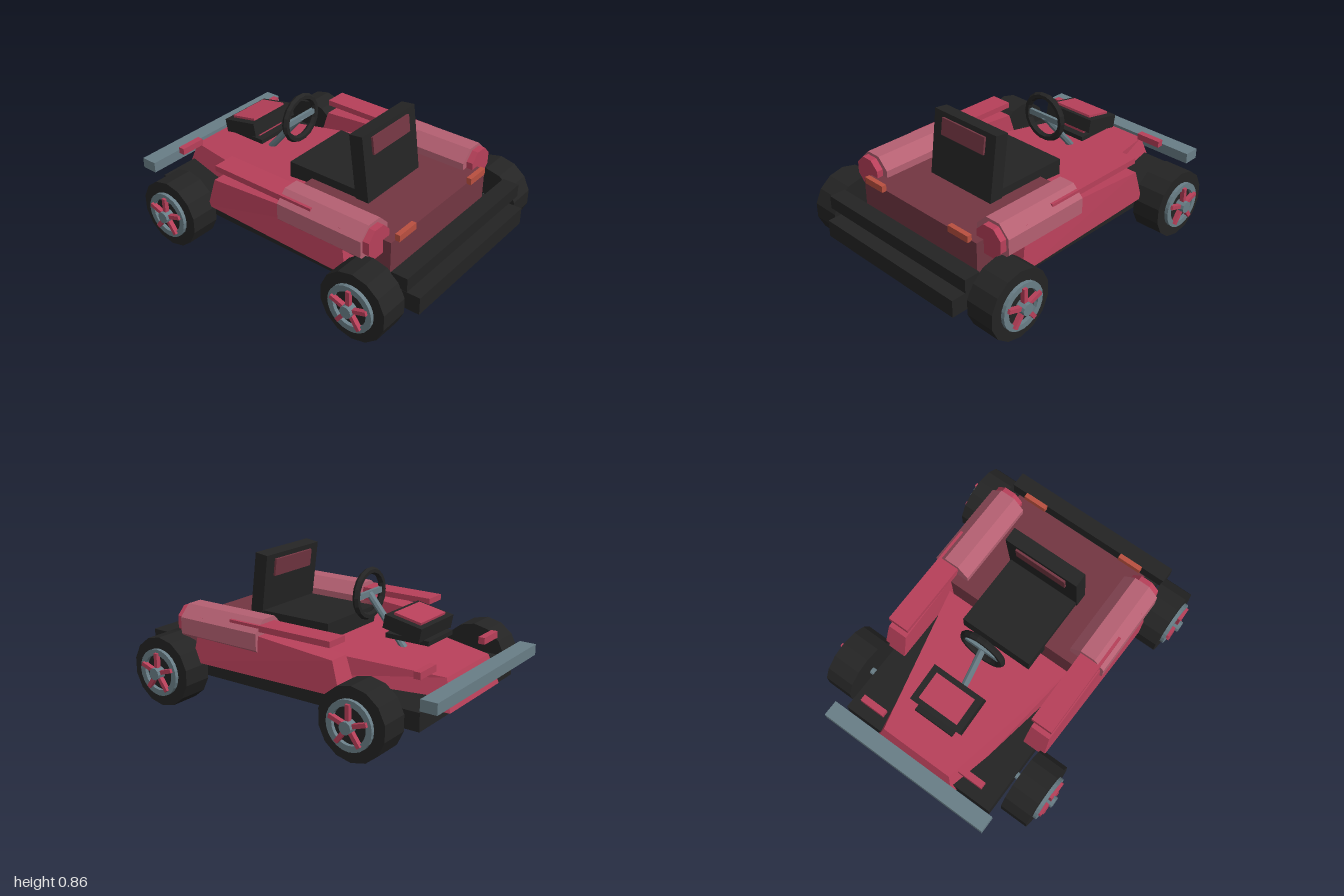
import * as THREE from 'three';

export function createModel() {
  const group = new THREE.Group();
  const mat = (name, color) => {
    const m = new THREE.MeshStandardMaterial({ color, flatShading: true });
    m.name = name;
    return m;
  };
  const red = mat('red', 0xb8405a);
  const maroon = mat('maroon', 0x733642);
  const pink = mat('dusty pink', 0xb56072);
  const orange = mat('orange', 0xba5040);
  const grey = mat('blue grey', 0x697e87);
  const black = mat('black', 0x242424);

  const add = (name, geometry, material, parent = group) => {
    const mesh = new THREE.Mesh(geometry, material);
    mesh.name = name;
    parent.add(mesh);
    return mesh;
  };
  // box given by its ranges on each axis
  const box = (name, m, x0, x1, y0, y1, z0, z1, parent) => {
    const mesh = add(name, new THREE.BoxGeometry(x1 - x0, y1 - y0, z1 - z0), m, parent);
    mesh.position.set((x0 + x1) / 2, (y0 + y1) / 2, (z0 + z1) / 2);
    return mesh;
  };
  // tapered block: each end is [xMin, xMax, y, z] for its bottom and top edge
  const taperedBlock = (rear, front) => {
    const g = new THREE.BoxGeometry(1, 1, 1);
    const p = g.attributes.position;
    for (let i = 0; i < p.count; i++) {
      const end = p.getZ(i) > 0 ? front : rear;
      const edge = p.getY(i) > 0 ? end.top : end.bottom;
      p.setXYZ(i, p.getX(i) > 0 ? edge[1] : edge[0], edge[2], edge[3]);
    }
    g.computeVertexNormals();
    return g;
  };

  // floor and bars
  box('chassis', black, -0.52, 0.52, 0.16, 0.265, -0.875, 1);
  box('bumperBar', black, -0.56, 0.56, 0.305, 0.385, 0.845, 0.945);
  box('endBar', grey, -0.565, 0.565, 0.295, 0.36, -1, -0.9);

  // bodywork
  add('hood', taperedBlock(
    { bottom: [-0.28, 0.28, 0.19, -0.915], top: [-0.235, 0.235, 0.365, -0.865] },
    { bottom: [-0.44, 0.44, 0.26, 0.02], top: [-0.43, 0.43, 0.43, 0.02] }), red);
  box('deck', maroon, -0.46, 0.46, 0.28, 0.47, 0.06, 0.77);

  for (const s of [-1, 1]) {
    const span = (a, b) => (s > 0 ? [a, b] : [-b, -a]);
    // side pod with rail and tank
    add('sidePod', taperedBlock(
      { bottom: [...span(0.44, 0.585), 0.265, -0.43], top: [...span(0.45, 0.575), 0.455, -0.375] },
      { bottom: [...span(0.44, 0.61), 0.265, 0.59], top: [...span(0.45, 0.585), 0.53, 0.54] }), red);
    box('sideRail', red, ...span(0.44, 0.575), 0.52, 0.555, -0.36, 0.33);
    const tank = add('sideTank', new THREE.CylinderGeometry(0.125, 0.125, 0.56, 8), pink);
    tank.rotation.set(Math.PI / 2, Math.PI / 8, 0);
    tank.position.set(s * 0.485, 0.465, 0.4);
    const cap = add('tankCap', new THREE.CylinderGeometry(0.095, 0.095, 0.04, 8), red);
    cap.rotation.set(Math.PI / 2, Math.PI / 8, 0);
    cap.position.set(s * 0.495, 0.475, 0.7);
    // lights and markers
    box('light', orange, ...span(0.27, 0.42), 0.465, 0.505, 0.765, 0.795);
    box('marker', red, ...span(0.27, 0.43), 0.4, 0.44, -0.82, -0.78);
  }

  // seat
  box('seatCushion', black, -0.235, 0.235, 0.4, 0.52, -0.1, 0.4);
  const back = new THREE.Group();
  back.name = 'seatBack';
  back.position.set(0, 0.66, 0.394);
  back.rotation.x = -0.13;
  group.add(back);
  box('backrest', black, -0.242, 0.242, -0.2, 0.2, -0.043, 0.043, back);
  box('headPad', maroon, -0.168, 0.168, 0.067, 0.17, -0.056, 0.056, back);

  // steering
  const wheelRing = add('steeringWheel', new THREE.TorusGeometry(0.132, 0.021, 6, 18), black);
  wheelRing.position.set(0, 0.665, -0.22);
  box('steeringSpoke', grey, -0.125, 0.125, 0.648, 0.682, -0.23, -0.21);
  const top = new THREE.Vector3(0, 0.665, -0.22);
  const foot = new THREE.Vector3(0, 0.385, -0.46);
  const column = add('steeringColumn',
    new THREE.CylinderGeometry(0.021, 0.021, top.distanceTo(foot), 8), grey);
  column.position.copy(top).add(foot).multiplyScalar(0.5);
  column.quaternion.setFromUnitVectors(new THREE.Vector3(0, 1, 0), top.clone().sub(foot).normalize());

  // console
  box('consoleBase', black, -0.13, 0.13, 0.473, 0.5, -0.69, -0.415);
  box('consoleRiser', red, -0.1, 0.1, 0.5, 0.515, -0.61, -0.46);
  const box3 = new THREE.Group();
  box3.name = 'console';
  box3.position.set(0, 0.558, -0.546);
  box3.rotation.x = -0.19;
  group.add(box3);
  box('consoleBody', black, -0.173, 0.173, -0.04, 0.04, -0.118, 0.118, box3);
  box('consoleLid', red, -0.132, 0.132, 0.04, 0.054, -0.086, 0.086, box3);

  // wheels, built along +x and turned for the other side
  const disc = (name, r, x0, x1, sides, m, parent) => {
    const mesh = add(name, new THREE.CylinderGeometry(r, r, x1 - x0, sides), m, parent);
    mesh.rotation.z = -Math.PI / 2;
    mesh.position.x = (x0 + x1) / 2;
    return mesh;
  };
  const ringShape = new THREE.Shape().absarc(0, 0, 0.14, 0, Math.PI * 2);
  ringShape.holes.push(new THREE.Path().absarc(0, 0, 0.105, 0, Math.PI * 2, true));
  const ringGeo = new THREE.ExtrudeGeometry(ringShape,
    { depth: 0.022, bevelEnabled: false, curveSegments: 12 }).rotateY(Math.PI / 2);
  for (const z of [-0.605, 0.73]) {
    for (const s of [-1, 1]) {
      const wheel = new THREE.Group();
      wheel.name = 'wheel';
      wheel.position.set(0, 0.208, z);
      wheel.rotation.y = s > 0 ? 0 : Math.PI;
      group.add(wheel);
      const tyre = disc('tyre', 0.207, 0.556, 0.734, 14, black, wheel);
      tyre.rotation.set(Math.PI / 2, 0, -Math.PI / 2);
      add('rim', ringGeo, grey, wheel).position.x = 0.734;
      for (let i = 0; i < 5; i++) {
        const pivot = new THREE.Group();
        pivot.name = 'spoke';
        pivot.rotation.x = i * Math.PI * 2 / 5;
        wheel.add(pivot);
        box('spokeBar', red, 0.745, 0.772, 0.02, 0.12, -0.012, 0.012, pivot);
      }
      disc('hub', 0.036, 0.734, 0.79, 10, grey, wheel);
      disc('axle', 0.021, 0.4, 0.56, 8, grey, wheel).position.y = 0.012;
    }
  }
  return group;
}
